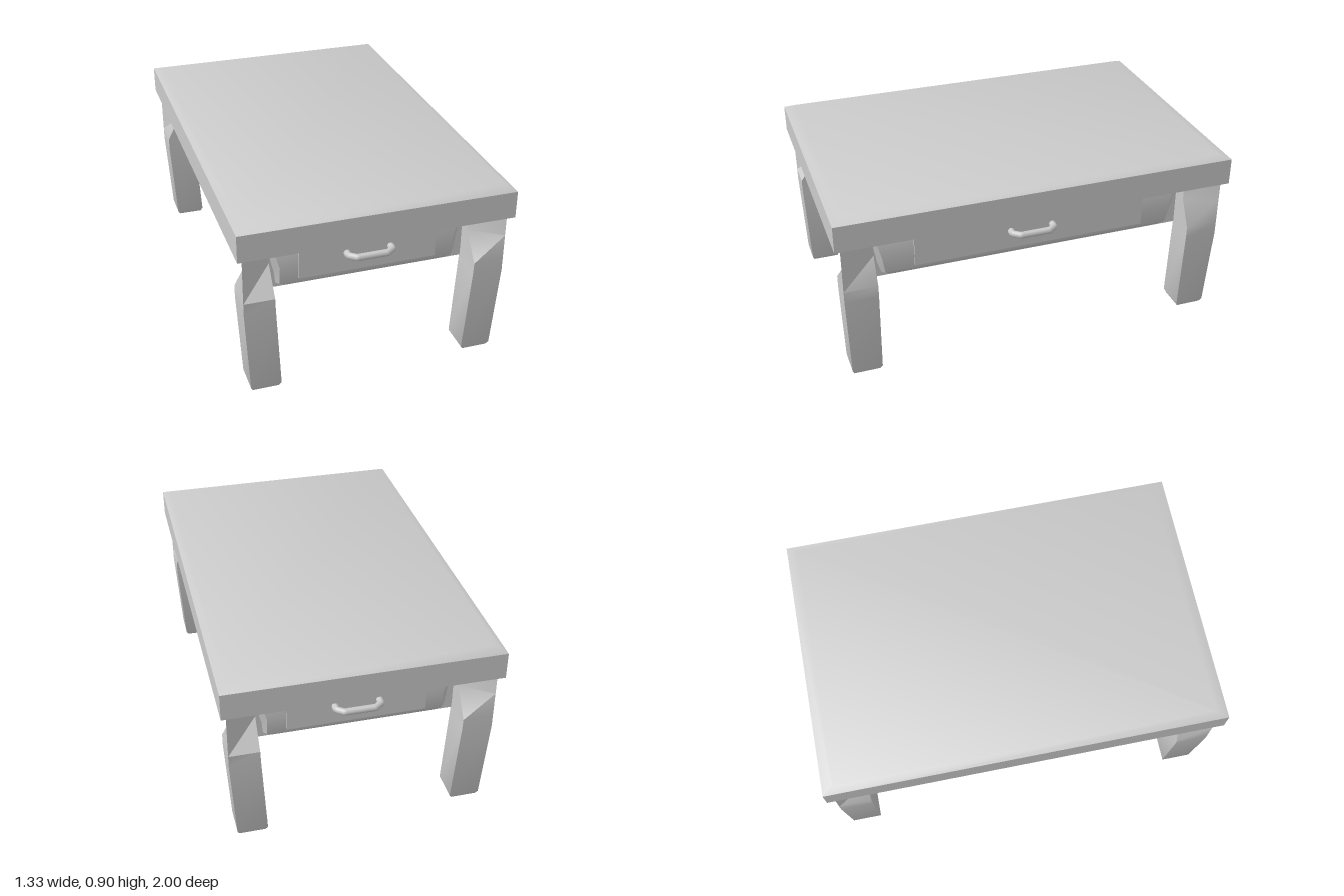
import * as THREE from 'three';
import { toCreasedNormals } from 'three/addons/utils/BufferGeometryUtils.js';

const material = new THREE.MeshStandardMaterial({ color: 0xcccccc });

// Skin stacked rings of [x, y, z] points (counter-clockwise from above), bottom to top, with caps
function loft(rings, crease = 0.7) {
  const n = rings[0].length, pos = [];
  const tri = (a, b, c) => pos.push(...a, ...b, ...c);
  for (let r = 0; r < rings.length - 1; r++) {
    for (let i = 0; i < n; i++) {
      const j = (i + 1) % n;
      const a = rings[r][i], b = rings[r][j], c = rings[r + 1][j], d = rings[r + 1][i];
      tri(a, b, c);
      tri(a, c, d);
    }
  }
  const low = rings[0], high = rings[rings.length - 1];
  for (let i = 1; i < n - 1; i++) {
    tri(low[0], low[i + 1], low[i]);
    tri(high[0], high[i], high[i + 1]);
  }
  const geometry = new THREE.BufferGeometry();
  geometry.setAttribute('position', new THREE.Float32BufferAttribute(pos, 3));
  return toCreasedNormals(geometry, crease);
}

const rect = (x0, x1, z0, z1, y) => [[x0, y, z1], [x1, y, z1], [x1, y, z0], [x0, y, z0]];

function add(parent, name, geometry) {
  const mesh = new THREE.Mesh(geometry, material);
  mesh.name = name;
  parent.add(mesh);
  return mesh;
}

// Leg that leans outwards to a knee, then has its inner corners cut back to meet the apron
function legGeometry(sx, sz) {
  const head = (y) => [[0.49, y, 0.87], [0.638, y, 0.97], [0.57, y, 0.805], [0.49, y, 0.805]];
  const rings = [
    rect(0.475, 0.602, 0.815, 0.945, 0),
    rect(0.463, 0.612, 0.805, 0.955, 0.02),
    rect(0.488, 0.638, 0.805, 0.97, 0.45),
    rect(0.49, 0.638, 0.805, 0.97, 0.51),
    head(0.64),
    head(0.755),
  ].map((ring) => {
    const mirrored = ring.map(([x, y, z]) => [x * sx, y, z * sz]);
    return sx * sz < 0 ? mirrored.reverse() : mirrored;
  });
  return loft(rings, 0.6);
}

// Eight-sided apron ring: front edge half-width a at depth zf, side edge half-width b at xs
const apronRing = ([y, a, zf, b, xs]) => [
  [-a, y, zf], [a, y, zf], [xs, y, b], [xs, y, -b],
  [a, y, -zf], [-a, y, -zf], [-xs, y, -b], [-xs, y, b],
];

// Drawer front with its bent bar handle, facing +z
function makeDrawer(name, halfWidth) {
  const drawer = new THREE.Group();
  drawer.name = name;
  add(drawer, 'drawerFront', new THREE.BoxGeometry(halfWidth * 2, 0.195, 0.04)).position.y = 0.61;

  const path = new THREE.CurvePath();
  const points = [[-0.108, 0], [-0.108, 0.035], [-0.075, 0.06], [0.075, 0.06], [0.108, 0.035], [0.108, 0]]
    .map(([x, z]) => new THREE.Vector3(x, 0.61, z + 0.015));
  for (let i = 0; i < points.length - 1; i++) path.add(new THREE.LineCurve3(points[i], points[i + 1]));
  add(drawer, 'handle', new THREE.TubeGeometry(path, 40, 0.017, 10));
  return drawer;
}

export function createModel() {
  const table = new THREE.Group();
  table.name = 'table';

  // Thick top with a bevelled upper rim
  add(table, 'tabletop', loft([
    rect(-0.665, 0.665, -1, 1, 0.75),
    rect(-0.665, 0.665, -1, 1, 0.885),
    rect(-0.627, 0.627, -0.945, 0.945, 0.905),
  ]));

  // Recessed body between the legs
  add(table, 'body', loft([
    rect(-0.492, 0.492, -0.81, 0.81, 0.468),
    rect(-0.492, 0.492, -0.81, 0.81, 0.755),
  ]));

  // Bulging apron panels
  add(table, 'apron', loft([
    [0.472, 0.40, 0.815, 0.70, 0.495],
    [0.49, 0.43, 0.828, 0.74, 0.508],
    [0.58, 0.43, 0.838, 0.755, 0.518],
    [0.72, 0.47, 0.828, 0.79, 0.508],
    [0.752, 0.487, 0.812, 0.808, 0.494],
  ].map(apronRing)));

  // A drawer on every side
  [
    ['frontDrawer', 0.34, 0.825, 0],
    ['leftDrawer', 0.597, 0.505, Math.PI / 2],
    ['backDrawer', 0.34, 0.825, Math.PI],
    ['rightDrawer', 0.597, 0.505, -Math.PI / 2],
  ].forEach(([name, halfWidth, distance, turn]) => {
    const drawer = makeDrawer(name, halfWidth);
    drawer.rotation.y = turn;
    drawer.position.set(Math.sin(turn) * distance, 0, Math.cos(turn) * distance);
    table.add(drawer);
  });

  // Four mirrored legs
  for (const sx of [1, -1]) {
    for (const sz of [1, -1]) {
      add(table, (sz > 0 ? 'front' : 'back') + (sx > 0 ? 'Left' : 'Right') + 'Leg', legGeometry(sx, sz));
    }
  }
  return table;
}
